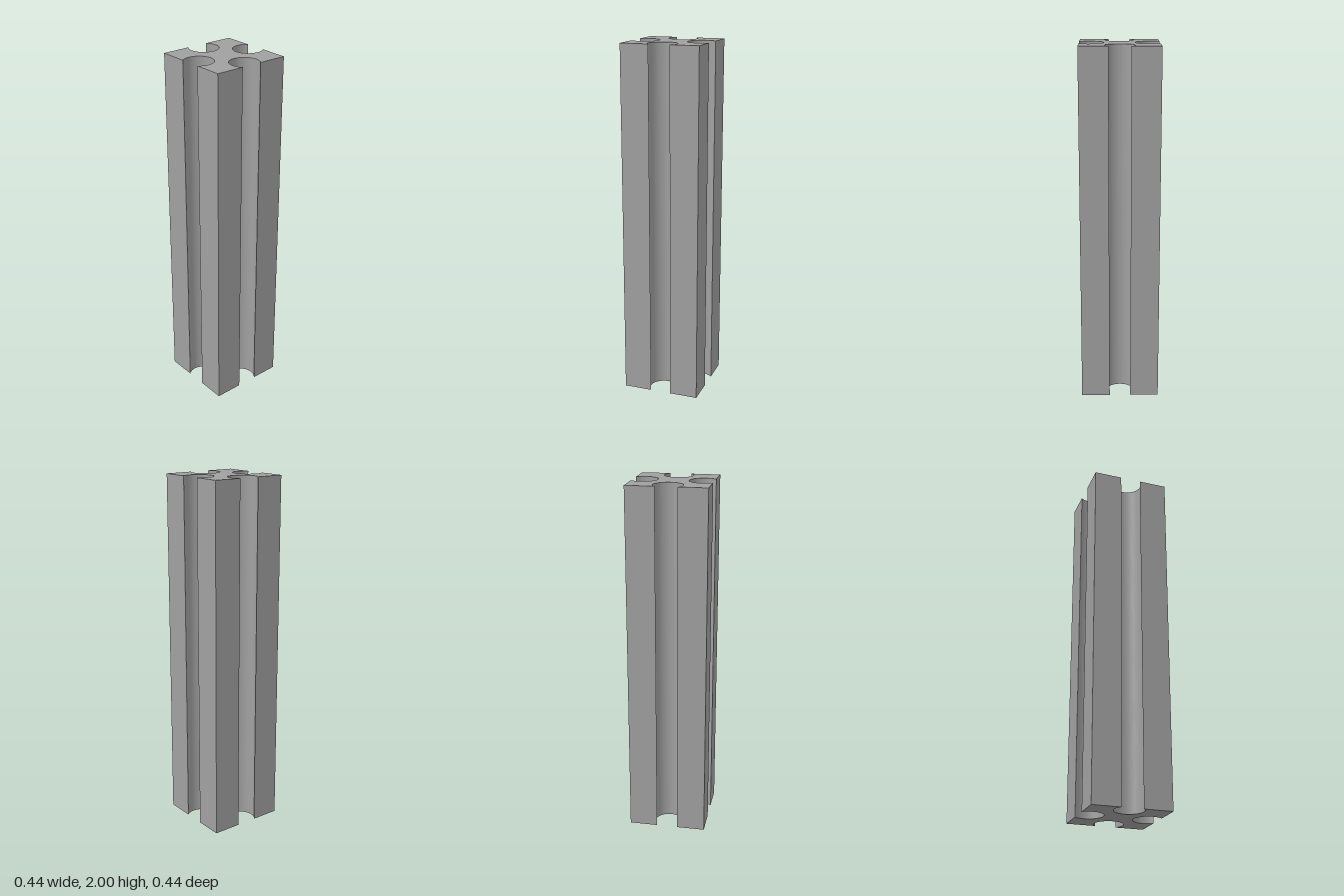
import * as THREE from 'three';
import { toCreasedNormals } from 'three/addons/utils/BufferGeometryUtils.js';

const HEIGHT = 2;
const HALF = 0.22; // half the width of the square section
const GROOVE_OFFSET = 0.165; // groove centre from the axis
const GROOVE_RADIUS = 0.081;

// Square section with a round groove open on each side
function sectionShape() {
  const shape = new THREE.Shape();
  const mouth = Math.acos((HALF - GROOVE_OFFSET) / GROOVE_RADIUS);
  for (let i = 0; i < 4; i++) {
    const turn = i * Math.PI / 2;
    const c = Math.cos(turn), s = Math.sin(turn);
    shape.absarc(GROOVE_OFFSET * c, GROOVE_OFFSET * s, GROOVE_RADIUS, turn - mouth, turn + mouth, true);
    shape.lineTo(HALF * (c - s), HALF * (s + c));
  }
  shape.closePath();
  return shape;
}

export function createModel() {
  const grey = new THREE.MeshStandardMaterial({ color: 0xa0a0a0 });
  grey.name = 'grey metal';

  // Grooved bar, extruded upright
  const extruded = new THREE.ExtrudeGeometry(sectionShape(), {
    depth: HEIGHT, bevelEnabled: false, curveSegments: 32,
  });
  extruded.rotateX(-Math.PI / 2);
  const bar = new THREE.Mesh(toCreasedNormals(extruded, Math.PI / 6), grey);
  bar.name = 'groovedBar';

  const model = new THREE.Group();
  model.name = 'groovedProfile';
  model.add(bar);
  return model;
}
